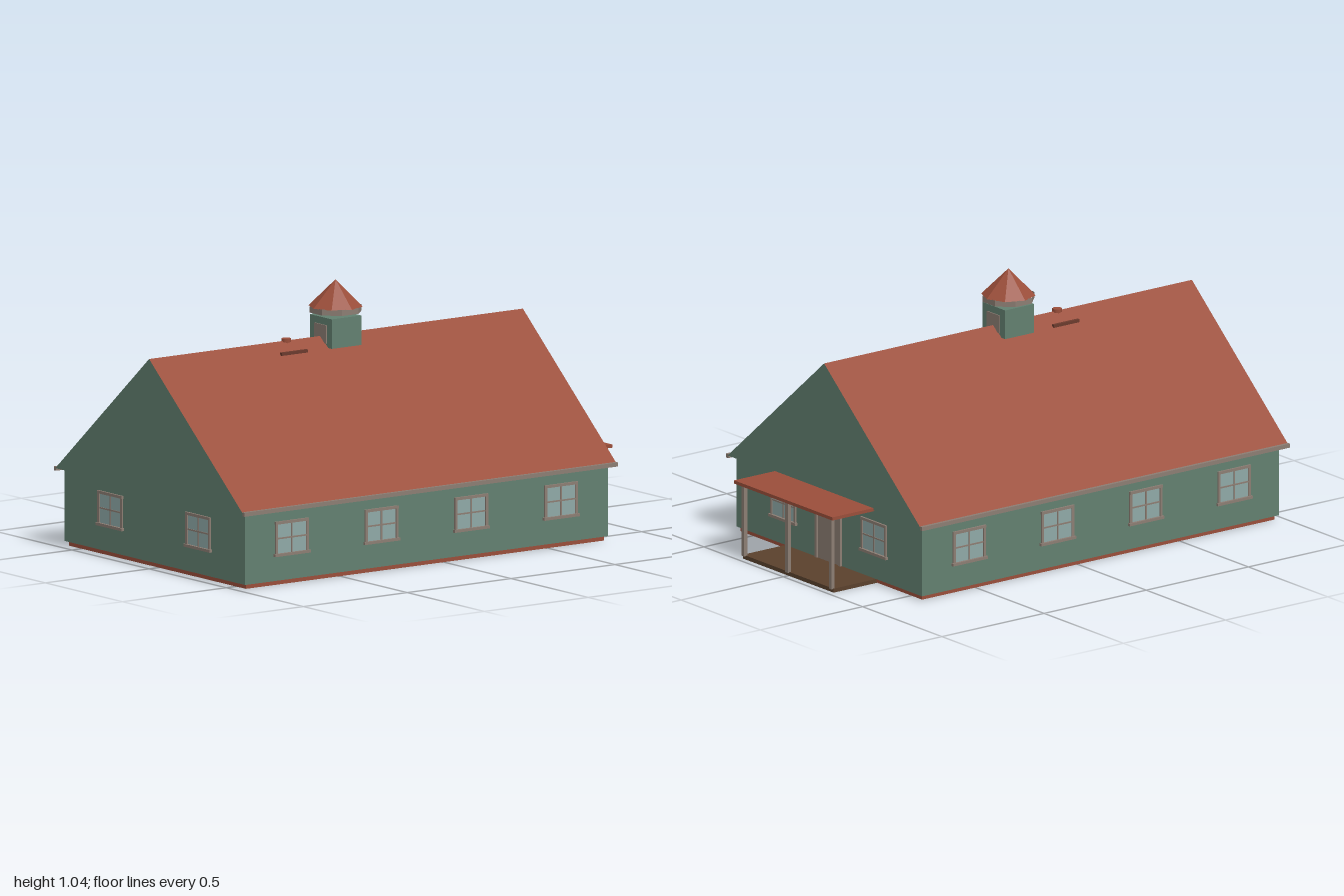
import * as THREE from 'three';

const mat = (name, color) => {
  const m = new THREE.MeshStandardMaterial({ color });
  m.name = name;
  return m;
};

export function createModel() {
  const red = mat('brickRed', 0x9a4e3a);
  const green = mat('sageGreen', 0x628070);
  const trim = mat('greyTrim', 0x8c7d73);
  const glass = mat('paleGlass', 0x8fa9a7);
  const wood = mat('darkWood', 0x5a412d);
  const rust = mat('rustBrown', 0x6b3a2d);

  const model = new THREE.Group();
  model.name = 'longHouse';

  const add = (parent, name, geometry, material, x = 0, y = 0, z = 0) => {
    const mesh = new THREE.Mesh(geometry, material);
    mesh.name = name;
    mesh.position.set(x, y, z);
    parent.add(mesh);
    return mesh;
  };
  // Box given by its lowest and highest corner
  const box = (parent, name, material, [x0, y0, z0], [x1, y1, z1]) =>
    add(parent, name, new THREE.BoxGeometry(x1 - x0, y1 - y0, z1 - z0), material,
      (x0 + x1) / 2, (y0 + y1) / 2, (z0 + z1) / 2);

  // Body
  box(model, 'foundation', red, [-0.573, 0.002, -0.765], [0.573, 0.02, 0.96]);
  box(model, 'walls', green, [-0.585, 0.02, -0.775], [0.585, 0.306, 0.972]);

  // Gabled roof: green ends, red slopes and soffit
  const gable = new THREE.Shape([
    new THREE.Vector2(-0.608, 0.306),
    new THREE.Vector2(0.608, 0.306),
    new THREE.Vector2(0, 0.825),
  ]);
  const roofGeo = new THREE.ExtrudeGeometry(gable, { depth: 1.8, bevelEnabled: false });
  add(model, 'roof', roofGeo, [green, red], 0, 0, -0.8);
  for (const s of [-1, 1]) {
    add(model, 'gutter', new THREE.BoxGeometry(0.014, 0.016, 1.8), trim, s * 0.611, 0.304, 0.1);
  }

  // Four-pane window facing local +z, origin at its centre on the wall
  const makeWindow = (x, z, turn) => {
    const g = new THREE.Group();
    g.name = 'window';
    box(g, 'glass', glass, [-0.074, -0.06, -0.002], [0.074, 0.062, 0.002]);
    for (const s of [-1, 1]) {
      add(g, 'sideFrame', new THREE.BoxGeometry(0.011, 0.128, 0.008), trim, s * 0.074, 0.003, 0.003);
    }
    box(g, 'topFrame', trim, [-0.08, 0.058, -0.002], [0.08, 0.069, 0.008]);
    box(g, 'sill', trim, [-0.085, -0.068, -0.002], [0.085, -0.057, 0.012]);
    box(g, 'uprightBar', trim, [-0.003, -0.06, 0], [0.003, 0.06, 0.005]);
    box(g, 'crossBar', trim, [-0.07, -0.001, 0], [0.07, 0.005, 0.005]);
    g.position.set(x, 0.184, z);
    g.rotation.y = turn;
    model.add(g);
  };
  for (const s of [-1, 1]) {
    makeWindow(s * 0.285, 0.972, 0);
    makeWindow(s * 0.285, -0.775, Math.PI);
    for (const z of [0.75, 0.318, -0.114, -0.546]) makeWindow(s * 0.585, z, s * Math.PI / 2);
  }

  // Back door
  const door = new THREE.Group();
  door.name = 'door';
  model.add(door);
  box(door, 'doorLeaf', trim, [-0.07, 0.02, -0.778], [0.07, 0.232, -0.774]);
  for (const s of [-1, 1]) {
    add(door, 'doorJamb', new THREE.BoxGeometry(0.012, 0.224, 0.01), trim, s * 0.074, 0.132, -0.779);
  }
  box(door, 'doorHead', trim, [-0.08, 0.232, -0.784], [0.08, 0.246, -0.774]);

  // Back porch
  const porch = new THREE.Group();
  porch.name = 'porch';
  model.add(porch);
  box(porch, 'porchFloor', wood, [-0.285, 0, -0.975], [0.285, 0.016, -0.76]);
  box(porch, 'porchRoof', red, [-0.31, 0.302, -1], [0.31, 0.315, -0.775]);
  for (const x of [-0.275, 0, 0.275]) {
    box(porch, 'porchPost', trim, [x - 0.008, 0.014, -0.984], [x + 0.008, 0.304, -0.968]);
  }

  // Cupola with an eight-sided roof raised above its box
  const cupola = new THREE.Group();
  cupola.name = 'cupola';
  cupola.position.z = 0.102;
  model.add(cupola);
  box(cupola, 'cupolaBox', green, [-0.071, 0.784, -0.071], [0.071, 0.9, 0.071]);
  for (const s of [-1, 1]) {
    add(cupola, 'cupolaPanel', new THREE.BoxGeometry(0.08, 0.072, 0.006), trim, 0, 0.836, s * 0.072);
  }
  const cone = new THREE.ConeGeometry(0.106, 0.105, 8).toNonIndexed();
  cone.computeVertexNormals();
  add(cupola, 'cupolaRoof', cone, red, 0, 0.9875, 0);
  const rimMat = mat('rimGrey', 0x8c7d73);
  rimMat.side = THREE.DoubleSide;
  const rim = new THREE.CylinderGeometry(0.104, 0.104, 0.023, 8, 1, true).toNonIndexed();
  rim.computeVertexNormals();
  add(cupola, 'cupolaRim', rim, rimMat, 0, 0.925, 0).rotation.y = Math.PI / 8;

  // Ridge vent and roof rails
  add(model, 'ventPipe', new THREE.CylinderGeometry(0.011, 0.011, 0.03, 8), red, 0, 0.813, 0.34);
  add(model, 'ventCap', new THREE.CylinderGeometry(0.019, 0.019, 0.014, 8), red, 0, 0.827, 0.34);
  for (const s of [-1, 1]) {
    add(model, 'roofRail', new THREE.BoxGeometry(0.012, 0.012, 0.125), rust, s * 0.053, 0.786, 0.342);
  }

  return model;
}
